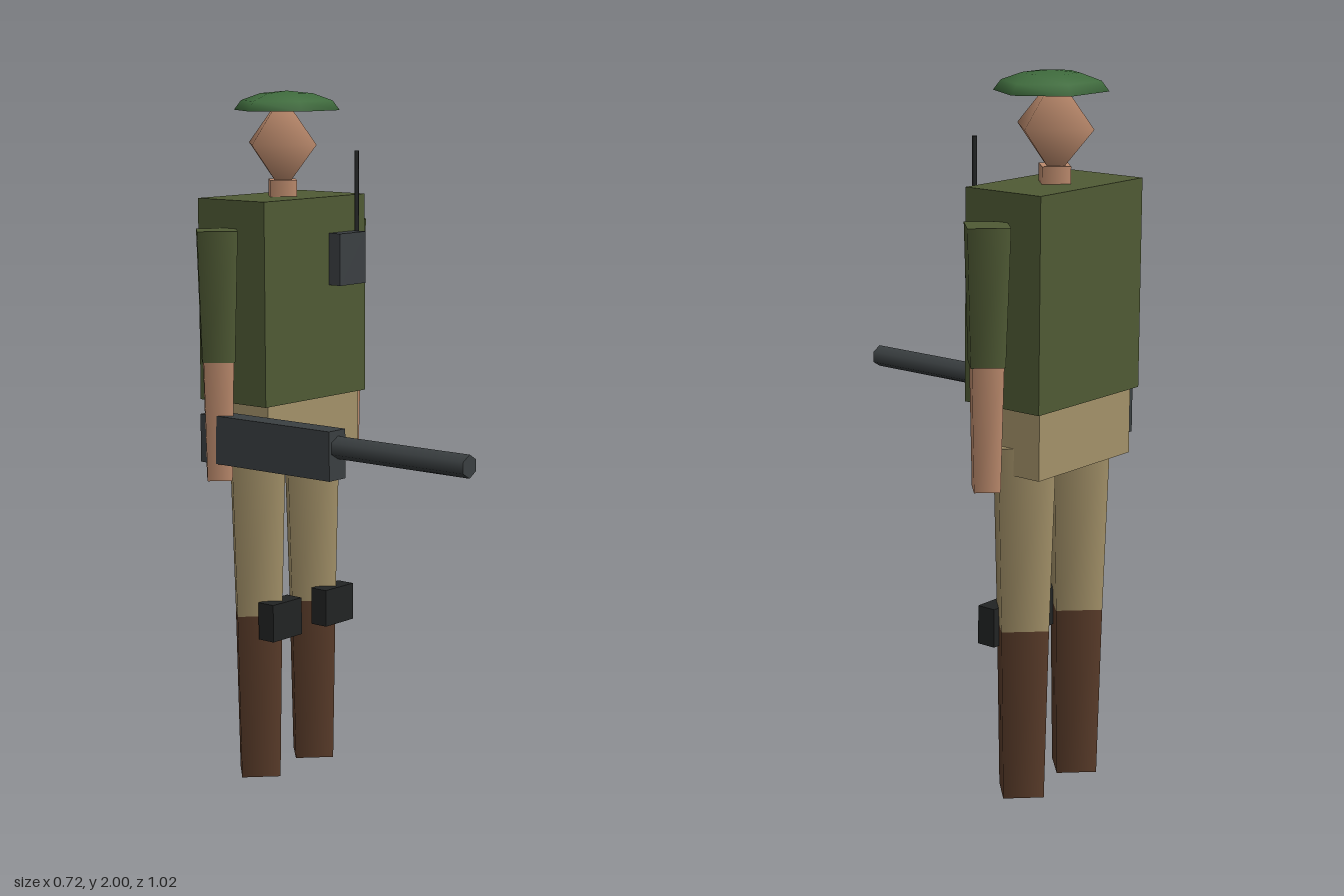
import * as THREE from 'three';

const mat = (name, color, side = THREE.FrontSide) =>
  new THREE.MeshStandardMaterial({ name, color, side });

export function createModel() {
  const olive = mat('olive cloth', 0x505b35);
  const skin = mat('skin', 0xbe8c6e);
  const khaki = mat('khaki cloth', 0xa5936a);
  const leather = mat('brown leather', 0x5a3c2a);
  const rubber = mat('black rubber', 0x222424);
  const gunMetal = mat('gun metal', 0x3b4042);
  const radioGrey = mat('radio grey', 0x3c4043);
  const beretGreen = mat('beret green', 0x3f6b3d, THREE.DoubleSide);

  const model = new THREE.Group();
  model.name = 'soldier';
  const Z = -0.38; // depth of the body's centre line

  const add = (name, geometry, material, x, y, z) => {
    const mesh = new THREE.Mesh(geometry, material);
    mesh.name = name;
    mesh.position.set(x, y, z);
    model.add(mesh);
    return mesh;
  };
  // Box given by its lower and upper corners
  const box = (name, material, [x0, y0, z0], [x1, y1, z1]) =>
    add(name, new THREE.BoxGeometry(x1 - x0, y1 - y0, z1 - z0), material,
      (x0 + x1) / 2, (y0 + y1) / 2, (z0 + z1) / 2);
  // Tapered upright limb from y0 to y1
  const limb = (name, material, x, y0, y1, rBottom, rTop, z = Z, sides = 4) =>
    add(name, new THREE.CylinderGeometry(rTop, rBottom, y1 - y0, sides), material,
      x, (y0 + y1) / 2, z);

  // Trunk
  box('vest', olive, [-0.22, 1.12, -0.508], [0.22, 1.7, -0.255]);
  box('hips', khaki, [-0.2, 0.935, -0.495], [0.2, 1.12, -0.265]);

  // Head, neck and beret
  limb('neck', skin, 0, 1.66, 1.747, 0.055, 0.055);
  add('head', new THREE.SphereGeometry(0.13, 4, 2), skin, 0, 1.85, Z).scale.y = 1.07;
  const beret = new THREE.SphereGeometry(0.165, 6, 3, 0, Math.PI * 2, 0, Math.PI / 2);
  add('beret', beret, beretGreen, 0.02, 1.945, Z).scale.set(1, 0.333, 0.91);

  // Arms and legs
  for (const [side, s] of [['left', 1], ['right', -1]]) {
    limb(side + 'Sleeve', olive, s * 0.28, 1.25, 1.62, 0.065, 0.08);
    limb(side + 'Forearm', skin, s * 0.28, 0.91, 1.25, 0.05, 0.06);
    limb(side + 'Thigh', khaki, s * 0.12, 0.49, 1.01, 0.092, 0.11);
    limb(side + 'Boot', leather, s * 0.12, 0, 0.49, 0.08, 0.092);
    box(side + 'KneePad', rubber,
      [s * 0.117 - 0.0625, 0.425, -0.327], [s * 0.117 + 0.0625, 0.535, -0.27]);
  }

  // Radio on the chest
  box('radio', radioGrey, [0.058, 1.445, -0.265], [0.172, 1.595, -0.213]);
  limb('antenna', rubber, 0.164, 1.59, 1.828, 0.007, 0.007, -0.239, 6);

  // Rifle held in the right hand
  box('rifleBody', gunMetal, [-0.314, 0.96, -0.42], [-0.246, 1.098, 0.06]);
  const barrel = new THREE.CylinderGeometry(0.032, 0.032, 0.46, 6).rotateX(Math.PI / 2);
  add('rifleBarrel', barrel, gunMetal, -0.277, 1.05, 0.28);

  return model;
}
